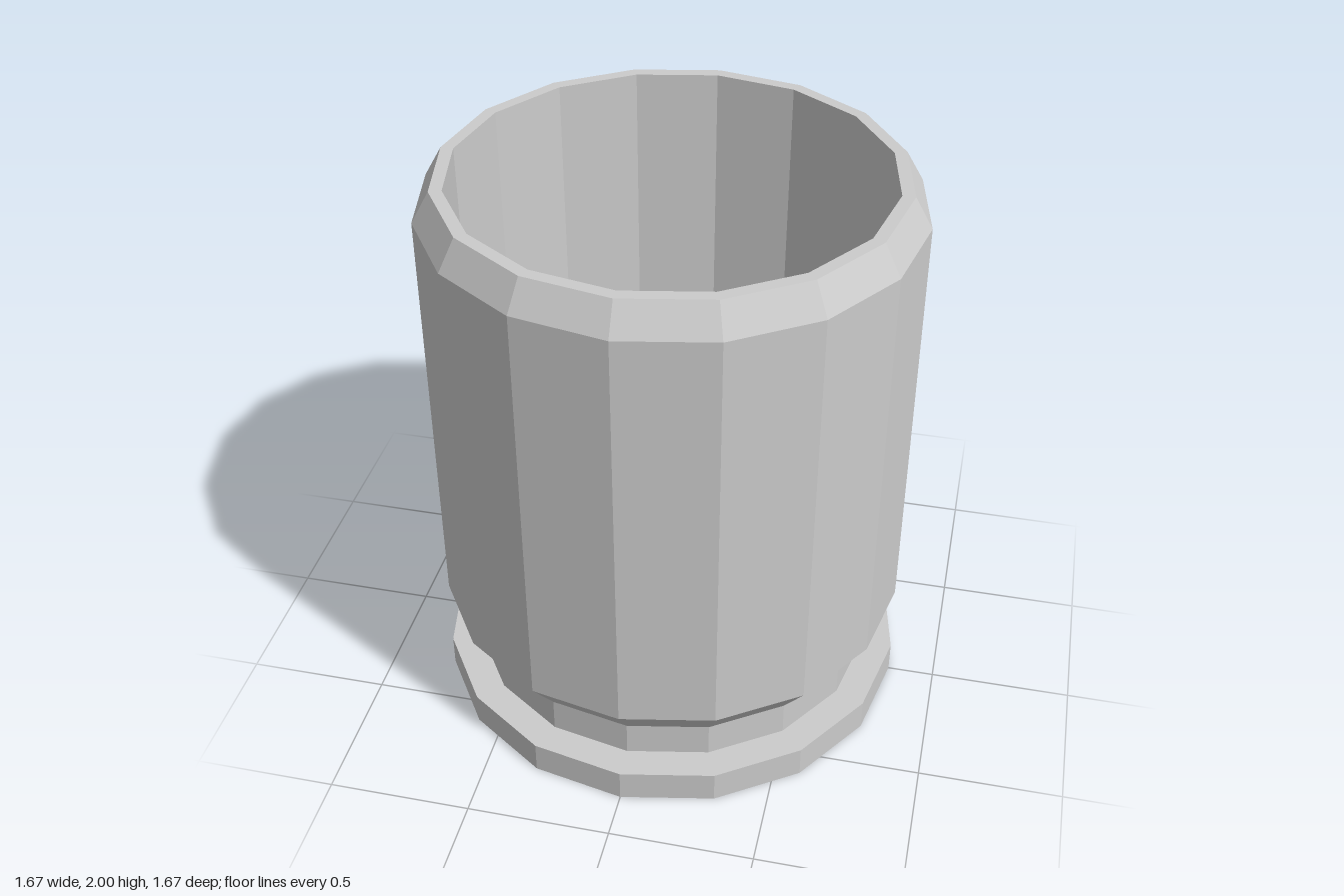
import * as THREE from 'three';

const SIDES = 16;
const material = new THREE.MeshStandardMaterial({ color: 0xcccccc, flatShading: true });

// Faceted ring of revolution from [radius, height] pairs, outside listed bottom to top
function turned(name, profile) {
  const points = profile.map(([r, y]) => new THREE.Vector2(r, y));
  const geometry = new THREE.LatheGeometry(points, SIDES).toNonIndexed();
  geometry.computeVertexNormals();
  const mesh = new THREE.Mesh(geometry, material);
  mesh.name = name;
  return mesh;
}

export function createModel() {
  const model = new THREE.Group();
  model.name = 'openCasing';

  // Flange at the foot, with its flat underside
  model.add(turned('baseFlange', [[0.28, 0], [0.835, 0], [0.835, 0.115], [0.725, 0.115]]));

  // Shallow tapered recess in the underside
  model.add(turned('baseRecess', [[0, 0.018], [0.24, 0.018], [0.28, 0]]));

  // Groove above the flange
  model.add(turned('grooveNeck', [[0.725, 0.115], [0.725, 0.24]]));

  // Outer wall with bevels at both ends, closed by the flat lip
  model.add(turned('outerWall', [[0.725, 0.24], [0.83, 0.38], [0.83, 1.895], [0.77, 2], [0.727, 2]]));

  // Slightly tapered hollow inside and its floor
  model.add(turned('innerWall', [[0.727, 2], [0.716, 0.38], [0, 0.38]]));

  return model;
}
